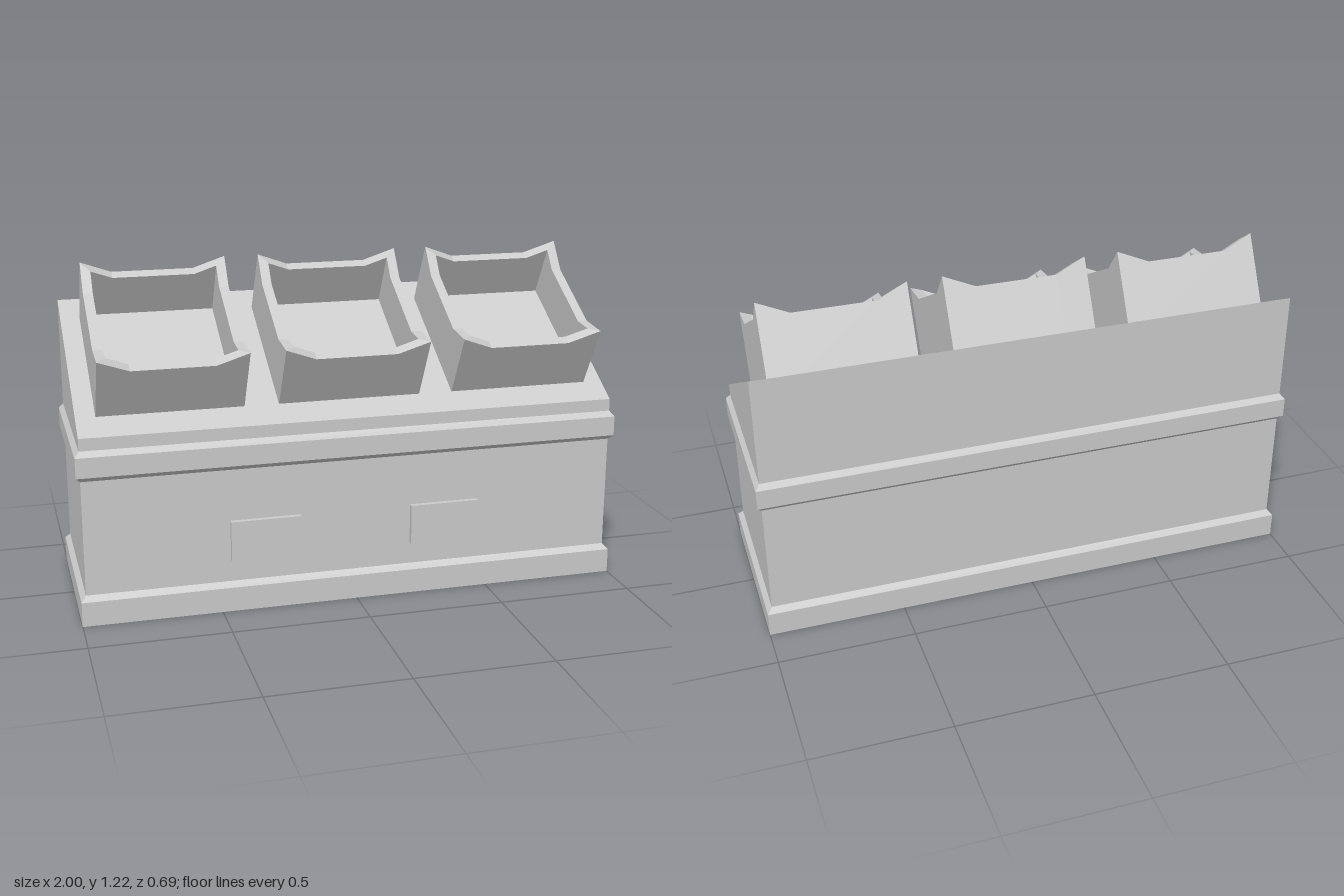
import * as THREE from 'three';

const material = new THREE.MeshStandardMaterial({ color: 0xcccccc, flatShading: true });

// Skin a stack of closed rings (counter-clockwise from above) and cap both ends.
function loft(name, rings) {
  const pos = [];
  const tri = (...pts) => pts.forEach((p) => pos.push(...p));
  const n = rings[0].length;
  for (let i = 0; i < rings.length - 1; i++) {
    for (let j = 0; j < n; j++) {
      const k = (j + 1) % n;
      const [a, b, c, d] = [rings[i][j], rings[i][k], rings[i + 1][k], rings[i + 1][j]];
      tri(a, b, c);
      tri(a, c, d);
    }
  }
  const cap = (ring, up) => {
    const mid = [0, 1, 2].map((axis) => ring.reduce((s, p) => s + p[axis], 0) / n);
    ring.forEach((p, j) => {
      const q = ring[(j + 1) % n];
      if (up) tri(mid, p, q);
      else tri(mid, q, p);
    });
  };
  cap(rings[0], false);
  cap(rings[rings.length - 1], true);
  const geometry = new THREE.BufferGeometry();
  geometry.setAttribute('position', new THREE.Float32BufferAttribute(pos, 3));
  geometry.computeVertexNormals();
  const mesh = new THREE.Mesh(geometry, material);
  mesh.name = name;
  return mesh;
}

const HALF_X = 0.983, FRONT = 0.305, BACK = -0.325;
const FRONT_TOP = 0.685, BACK_TOP = 1.04;
const SLOPE = Math.atan2(BACK_TOP - FRONT_TOP, FRONT - BACK);

// Cabinet outline grown outwards by g, with separate front and back heights.
function outline(g, yFront, yBack = yFront) {
  const x = HALF_X + g, f = FRONT + g, b = BACK - g;
  return [[-x, yFront, f], [x, yFront, f], [x, yBack, b], [-x, yBack, b]];
}

// Square crate whose rim rises to a peak at each corner.
function makeCrate() {
  const half = 0.2625, wall = 0.035, floor = 0.036, dip = 0.114;
  const peak = 0.257, low = 0.207;
  const rimHeight = (d) => THREE.MathUtils.lerp(peak, low, Math.min(d / dip, 1));
  const ring = (inset, height) => {
    const pts = [];
    const r = half - inset;
    for (let side = 0; side < 4; side++) {
      const a = (side * Math.PI) / 2, c = Math.cos(a), s = Math.sin(a);
      // Corner, then the two ends of the level stretch of this side
      for (const [x, d] of [[-r, inset], [dip - half, dip], [half - dip, dip]]) {
        pts.push([x * c + r * s, height(d), -x * s + r * c]);
      }
    }
    return pts;
  };
  return loft('crate', [
    ring(0, () => 0),
    ring(0, rimHeight),
    ring(wall, rimHeight),
    ring(wall, () => floor),
  ]);
}

export function createModel() {
  const model = new THREE.Group();
  model.name = 'marketStall';

  // Cabinet with sloping top
  model.add(loft('cabinet', [outline(0, 0), outline(0, FRONT_TOP, BACK_TOP)]));

  // Plinth and moulding with chamfered edges
  model.add(loft('plinth', [outline(0.018, 0), outline(0.018, 0.09), outline(0, 0.11)]));
  model.add(loft('moulding', [
    outline(0, 0.53), outline(0.016, 0.547), outline(0.016, 0.62), outline(0, 0.64),
  ]));

  // Front plaques
  for (const x of [-0.335, 0.335]) {
    const plaque = new THREE.Mesh(new THREE.BoxGeometry(0.257, 0.15, 0.03), material);
    plaque.name = 'plaque';
    plaque.position.set(x, 0.265, 0.309);
    model.add(plaque);
  }

  // Row of display crates resting on the slope
  const z = -0.01;
  for (const x of [-0.65, 0, 0.65]) {
    const crate = makeCrate();
    crate.position.set(x, FRONT_TOP + (FRONT - z) * Math.tan(SLOPE), z);
    crate.rotation.x = SLOPE;
    model.add(crate);
  }
  return model;
}
